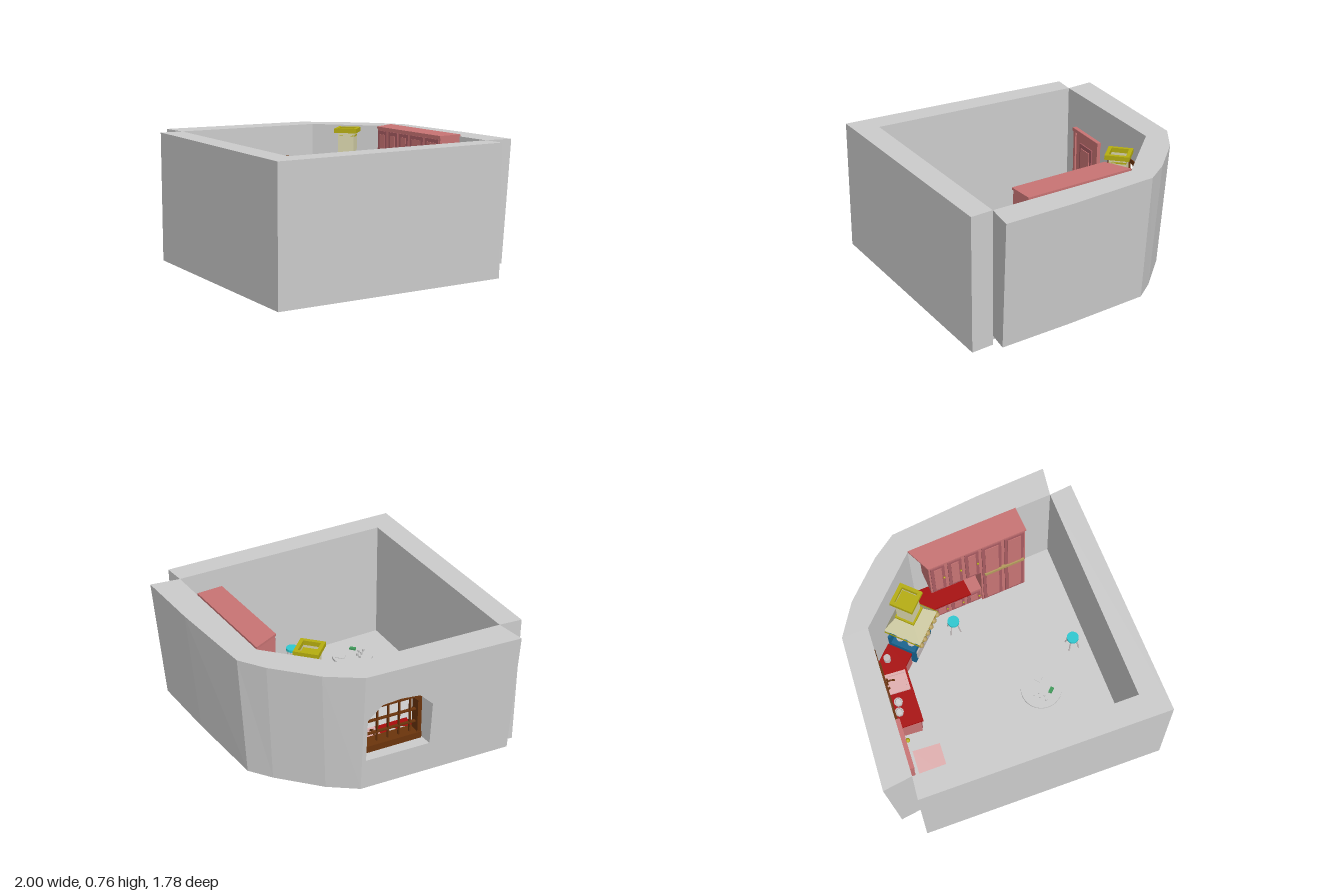
import * as THREE from 'three';

const paint = (color) => new THREE.MeshStandardMaterial({ color, side: THREE.DoubleSide });
const GREY = paint(0xcccccc), PINK = paint(0xc87474), ROSE = paint(0xa85c62), RED = paint(0xa80c0c), WOOD = paint(0x6b340c);
const CREAM = paint(0xd9d5ac), GOLD = paint(0xb5ad10), BLUE = paint(0x17638f), CYAN = paint(0x2ec8d0), PALE = paint(0xe0b0b0);
const STEEL = paint(0xc4bcbc), GREEN = paint(0x3f9a5a), TAN = paint(0xb39a5c);
const BASE = 0.05, TOP = 0.745, COUNTER = 0.21;

function add(parent, name, geo, mat, x = 0, y = 0, z = 0) {
  const m = new THREE.Mesh(geo, mat);
  m.name = name;
  m.position.set(x, y, z);
  parent.add(m);
  return m;
}
// Box given by its lower and upper limits
function box(parent, name, mat, x0, x1, y0, y1, z0, z1) {
  return add(parent, name, new THREE.BoxGeometry(x1 - x0, y1 - y0, z1 - z0), mat, (x0 + x1) / 2, (y0 + y1) / 2, (z0 + z1) / 2);
}
const cyl = (r0, r1, h, n = 20) => new THREE.CylinderGeometry(r0, r1, h, n);
const poly = (pts) => new THREE.Shape(pts.map(([x, y]) => new THREE.Vector2(x, y)));
// Plan outline (x, z) raised from y0 to y1
function slab(parent, name, mat, pts, y0, y1) {
  const geo = new THREE.ExtrudeGeometry(poly(pts.map(([x, z]) => [x, -z])), { depth: y1 - y0, bevelEnabled: false });
  return add(parent, name, geo.rotateX(-Math.PI / 2), mat, 0, y0, 0);
}
// Window outline with cut upper corners, in wall coordinates
const windowOutline = (c, w, y0, y1) => [
  [c - w, y0], [c + w, y0], [c + w, y1 - 0.085], [c + w - 0.075, y1 - 0.01], [c, y1], [c - w + 0.075, y1 - 0.01], [c - w, y1 - 0.085]];

// Leaning wall panel between inner edge a-b and outer edge c-d
function wallPanel(parent, a, b, c, d, hole) {
  const shape = poly([[0, BASE], [1, BASE], [1, TOP], [0, TOP]]);
  if (hole) shape.holes.push(poly(hole));
  const geo = new THREE.ExtrudeGeometry(shape, { depth: 1, bevelEnabled: false });
  const p = geo.attributes.position, mix = THREE.MathUtils.lerp;
  for (let i = 0; i < p.count; i++) {
    const s = p.getX(i), y = p.getY(i);
    const out = (1 - p.getZ(i)) * mix(0.73, 1, (y - BASE) / (TOP - BASE));
    p.setXYZ(i, mix(mix(a[0], b[0], s), mix(c[0], d[0], s), out), y, mix(mix(a[1], b[1], s), mix(c[1], d[1], s), out));
  }
  geo.computeVertexNormals();
  add(parent, 'backWall', geo, GREY);
}

// Cabinet carcass with raised door panels and knobs on its front
function cabinet(parent, name, x0, x1, y0, y1, depth, doors) {
  box(parent, name, PINK, x0, x1, y0, y1, 0, depth);
  const w = (x1 - x0) / doors;
  for (let i = 0; i < doors; i++) {
    const a = x0 + i * w + 0.01, b = a + w - 0.02;
    box(parent, name + 'Door', ROSE, a, b, y0 + 0.015, y1 - 0.015, depth, depth + 0.006);
    if (w > 0.06) box(parent, name + 'Panel', PINK, a + 0.018, b - 0.018, y0 + 0.035, y1 - 0.035, depth, depth + 0.009);
    add(parent, name + 'Knob', new THREE.SphereGeometry(0.006, 10, 8), GOLD, b - 0.008, (y0 + y1) / 2, depth + 0.01);
  }
}

function buildWindow(parent) {
  const g = new THREE.Group();
  g.name = 'window';
  parent.add(g);
  const c = 0.645, w = 0.178, y0 = 0.225, y1 = 0.565;
  const frame = poly(windowOutline(c, w, y0, y1));
  frame.holes.push(poly(windowOutline(c, w - 0.022, y0 + 0.03, y1 - 0.022)));
  add(g, 'windowFrame', new THREE.ExtrudeGeometry(frame, { depth: 0.06, bevelEnabled: false }), WOOD, 0, 0, -0.055);
  for (let i = -2; i <= 2; i++) {
    const x = c + i * 0.062;
    box(g, 'windowBar', WOOD, x - 0.004, x + 0.004, y0 + 0.02, y1 - (Math.abs(i) === 2 ? 0.06 : 0.015), -0.035, -0.022);
  }
  for (let j = 1; j <= 3; j++) {
    const y = y0 + 0.02 + j * 0.075;
    box(g, 'windowCrossbar', WOOD, c - w + 0.01, c + w - 0.01, y - 0.004, y + 0.004, -0.036, -0.021);
  }
  box(g, 'windowSill', WOOD, c - w, c + w, y0, y0 + 0.04, -0.06, 0.015);
}

function buildDoor(parent) {
  const g = new THREE.Group();
  g.name = 'door';
  parent.add(g);
  box(g, 'doorLeaf', PINK, 0.125, 0.36, BASE, 0.515, 0, 0.012);
  box(g, 'doorPanelRim', ROSE, 0.175, 0.31, 0.12, 0.46, 0.012, 0.02);
  box(g, 'doorPanel', PINK, 0.195, 0.29, 0.145, 0.435, 0.012, 0.025);
  for (const x of [0.107, 0.358]) box(g, 'doorJamb', PINK, x, x + 0.02, BASE, 0.515, 0, 0.022);
  box(g, 'doorHead', PINK, 0.1, 0.385, 0.515, 0.535, 0, 0.025);
  box(g, 'knobPlate', GOLD, 0.325, 0.347, 0.25, 0.3, 0.012, 0.018);
  add(g, 'doorKnob', new THREE.SphereGeometry(0.013, 14, 10), GOLD, 0.336, 0.275, 0.035);
  box(g, 'doormat', PALE, 0.115, 0.335, BASE, BASE + 0.006, 0.045, 0.205);
}

function buildSink(parent) {
  const x = 0.698, z = 0.074, h = 0.06;
  const rim = poly([[x - h, z - h], [x + h, z - h], [x + h, z + h], [x - h, z + h]]);
  const i = h - 0.014;
  rim.holes.push(poly([[x - i, z - i], [x + i, z - i], [x + i, z + i], [x - i, z + i]]));
  const geo = new THREE.ExtrudeGeometry(rim, { depth: 0.012, bevelEnabled: false }).rotateX(Math.PI / 2);
  add(parent, 'sinkRim', geo, PALE, 0, COUNTER + 0.014, 0);
  box(parent, 'sinkBasin', PALE, x - i, x + i, COUNTER, COUNTER + 0.004, z - i, z + i);
  const path = new THREE.CatmullRomCurve3([[0, 0, 0], [0, 0.045, 0], [0, 0.06, 0.02], [0, 0.045, 0.042]].map((p) => new THREE.Vector3(...p)));
  add(parent, 'faucet', new THREE.TubeGeometry(path, 16, 0.005, 8), WOOD, x, COUNTER + 0.01, z - 0.055);
  for (const s of [-1, 1]) add(parent, 'tap', cyl(0.006, 0.006, 0.02, 10), WOOD, x + s * 0.025, COUNTER + 0.02, z - 0.053);
}

// Cooker hood: flared base, chimney, collars and scalloped front
function buildHood(parent) {
  const g = new THREE.Group();
  g.name = 'hood';
  g.position.set(0, 0, -0.645);
  parent.add(g);
  const q = Math.SQRT2;
  const square = (name, mat, w0, w1, y0, y1, open) => add(g, name,
    new THREE.CylinderGeometry(w1 * q, w0 * q, y1 - y0, 4, 1, open).rotateY(Math.PI / 4).toNonIndexed(), mat, 0, (y0 + y1) / 2, 0)
    .geometry.computeVertexNormals();
  square('hoodFlare', CREAM, 0.11, 0.05, 0.41, 0.535, true);
  square('hoodChimney', CREAM, 0.047, 0.047, 0.53, 0.73, true);
  square('hoodRim', GOLD, 0.114, 0.114, 0.39, 0.412, true);
  square('hoodCollar', GOLD, 0.057, 0.057, 0.525, 0.54, false);
  for (const s of [-1, 1]) {
    box(g, 'chimneyRim', GOLD, s * 0.056 - 0.01, s * 0.056 + 0.01, 0.715, 0.74, -0.066, 0.066);
    box(g, 'chimneyRim', GOLD, -0.066, 0.066, 0.715, 0.74, s * 0.056 - 0.01, s * 0.056 + 0.01);
  }
  box(g, 'chimneyCap', GOLD, -0.047, 0.047, 0.69, 0.7, -0.047, 0.047);
  for (let i = 0; i < 6; i++) add(g, 'hoodScallop', new THREE.SphereGeometry(0.017, 12, 8), TAN, -0.1 + i * 0.04, 0.395, 0.112);
}

function buildStool(parent, x, z) {
  const g = new THREE.Group();
  g.name = 'stool';
  g.position.set(x, BASE, z);
  parent.add(g);
  add(g, 'stoolSeat', cyl(0.034, 0.034, 0.016, 24), CYAN, 0, 0.11, 0);
  for (let i = 0; i < 4; i++) {
    const a = i * Math.PI / 2, foot = new THREE.Vector3(Math.cos(a) * 0.042, 0, Math.sin(a) * 0.042);
    const line = new THREE.LineCurve3(foot, new THREE.Vector3(foot.x * 0.5, 0.105, foot.z * 0.5));
    add(g, 'stoolLeg', new THREE.TubeGeometry(line, 1, 0.004, 8), STEEL);
  }
}

function buildTable(parent) {
  const g = new THREE.Group();
  g.name = 'table';
  g.position.set(0, BASE, 0.15);
  parent.add(g);
  add(g, 'tableTop', cyl(0.115, 0.115, 0.012, 40), GREY, 0, 0.15, 0);
  add(g, 'tableStem', cyl(0.014, 0.018, 0.14), GREY, 0, 0.075, 0);
  add(g, 'tableFoot', cyl(0.03, 0.06, 0.012, 24), GREY, 0, 0.006, 0);
  box(g, 'napkin', GREY, 0.03, 0.085, 0.156, 0.16, -0.06, -0.02);
  box(g, 'greenDish', GREEN, -0.005, 0.03, 0.156, 0.166, 0.045, 0.065);
  for (let i = 0; i < 5; i++) add(g, 'cup', cyl(0.008, 0.006, 0.016, 12), GREY, -0.05 + (i % 2) * 0.02, 0.164, -0.02 + i * 0.018);
}

export function createModel() {
  const room = new THREE.Group();
  room.name = 'kitchen';

  // Shell
  slab(room, 'floor', GREY, [[0, 0.69], [0.87, -0.19], [0.24, -0.75], [-0.24, -0.75], [-0.87, -0.19]], 0.03, BASE);
  slab(room, 'frontWall', GREY, [[0, 0.885], [0.97, -0.11], [0.87, -0.19], [0, 0.69], [-0.87, -0.19], [-0.97, -0.11]], 0, TOP);
  const inner = [[-0.87, -0.19], [-0.24, -0.75], [-0.14, -0.75], [0.14, -0.75], [0.24, -0.75], [0.54, -0.483], [0.87, -0.19]];
  const outer = [[-1, -0.29], [-0.345, -0.85], [-0.14, -0.895], [0.14, -0.895], [0.3, -0.87], [0.7, -0.55], [1, -0.29]];
  const hole = windowOutline(0.645, 0.176, 0.227, 0.563).map(([s, y]) => [s / 0.843, y]);
  for (let i = 0; i < 6; i++) wallPanel(room, inner[i], inner[i + 1], outer[i], outer[i + 1], i === 0 && hole);

  // Left side: x runs along the wall, z into the room
  const left = new THREE.Group();
  left.name = 'leftSide';
  left.position.set(-0.87, 0, -0.19);
  left.rotation.y = 0.7266;
  room.add(left);
  buildDoor(left);
  buildWindow(left);
  cabinet(left, 'sinkCabinet', 0.437, 0.78, BASE, COUNTER - 0.015, 0.135, 4);
  buildSink(left);
  for (const [x, z] of [[0.522, 0.036], [0.58, 0.047]]) {
    add(left, 'pot', cyl(0.025, 0.022, 0.025, 24), STEEL, x, COUNTER + 0.013, z);
    add(left, 'potLid', cyl(0.014, 0.018, 0.006, 20), GREY, x, COUNTER + 0.028, z);
  }

  // Counters, stove and hood along the back
  slab(room, 'leftCounter', RED, [[-0.11, -0.75], [-0.24, -0.75], [-0.54, -0.475], [-0.44, -0.37], [-0.19, -0.6], [-0.11, -0.6]], COUNTER - 0.015, COUNTER);
  slab(room, 'rightCounter', RED, [[0.11, -0.75], [0.11, -0.6], [0.19, -0.6], [0.36, -0.45], [0.45, -0.56], [0.24, -0.75]], COUNTER - 0.015, COUNTER);
  for (const s of [-1, 1]) box(room, 'backCabinet', PINK, s * 0.155 - 0.045, s * 0.155 + 0.045, BASE, COUNTER - 0.015, -0.75, -0.61);
  add(room, 'jar', cyl(0.02, 0.02, 0.04, 20), STEEL, -0.2, COUNTER + 0.02, -0.71);
  box(room, 'stove', BLUE, -0.1, 0.1, 0.04, COUNTER + 0.005, -0.775, -0.59);
  box(room, 'stoveBack', BLUE, -0.1, 0.1, COUNTER, 0.29, -0.76, -0.735);
  box(room, 'ovenDoor', STEEL, -0.08, 0.08, 0.08, 0.17, -0.59, -0.583);
  for (const x of [-0.05, 0.05]) for (const z of [-0.7, -0.63]) add(room, 'burner', cyl(0.024, 0.024, 0.006), STEEL, x, COUNTER + 0.008, z);
  buildHood(room);

  // Right side cabinets
  const right = new THREE.Group();
  right.name = 'rightSide';
  right.position.set(0.24, 0, -0.75);
  right.rotation.y = -0.7266;
  room.add(right);
  cabinet(right, 'lowerCabinet', 0.06, 0.36, BASE, COUNTER - 0.015, 0.13, 3);
  cabinet(right, 'upperCabinet', 0.06, 0.36, 0.43, 0.75, 0.14, 3);
  cabinet(right, 'tallCabinet', 0.36, 0.63, BASE, 0.75, 0.14, 2);
  slab(right, 'cabinetTop', PINK, [[0, 0], [0.635, 0], [0.635, 0.145], [0.06, 0.145]], 0.745, 0.757);
  box(right, 'cabinetTrim', TAN, 0.38, 0.62, 0.4, 0.42, 0.14, 0.156);

  // Table and stools
  buildTable(room);
  buildStool(room, 0.18, -0.48);
  buildStool(room, 0.37, 0.185);
  return room;
}
